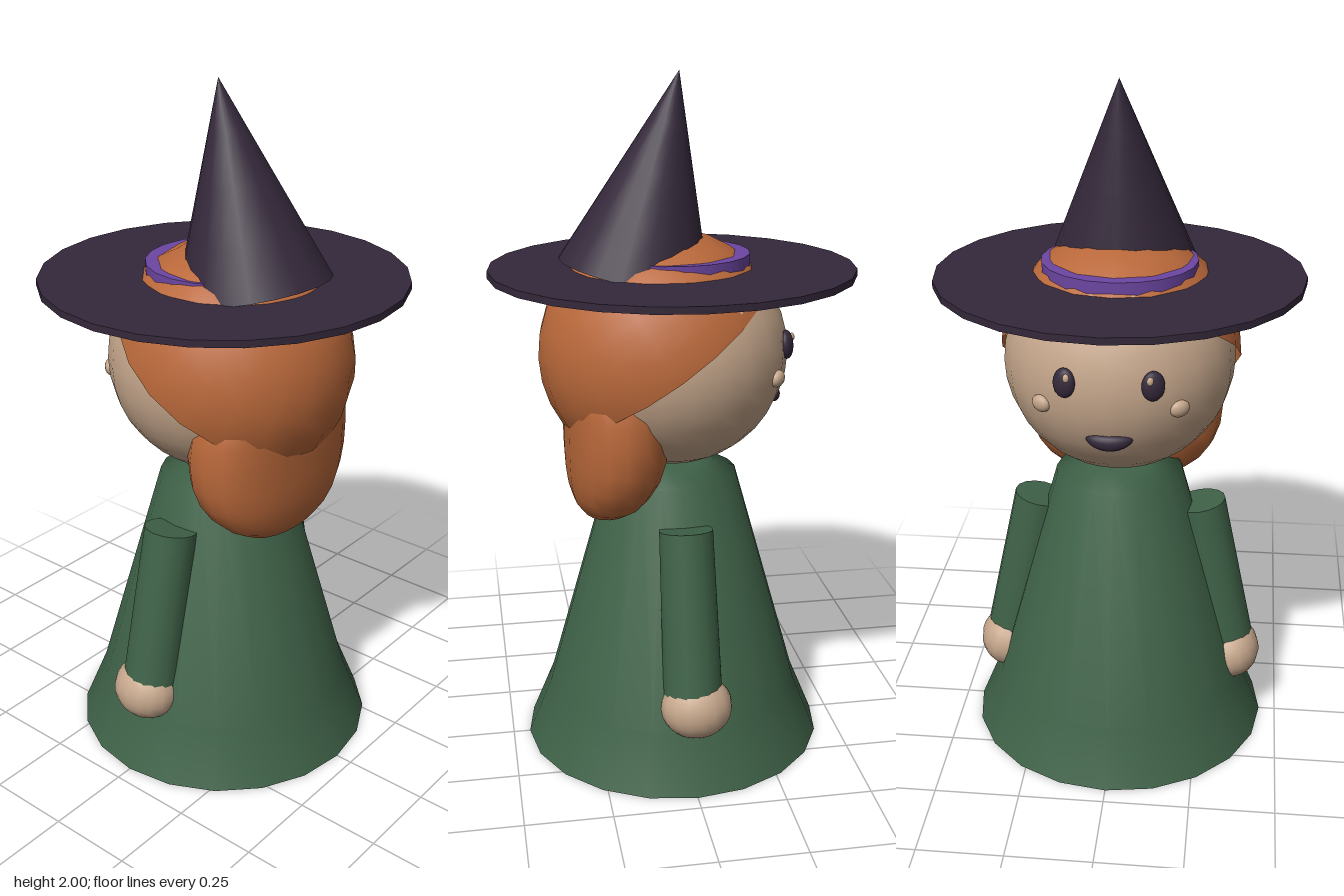
import * as THREE from 'three';

const mat = (name, color) => {
  const m = new THREE.MeshStandardMaterial({ color });
  m.name = name;
  return m;
};

export function createModel() {
  const group = new THREE.Group();
  const hatDark = mat('hat dark plum', 0x34283a);
  const hairOrange = mat('hair orange', 0xb9683a);
  const green = mat('dress green', 0x3f6248);
  const skin = mat('skin', 0xc6a78c);
  const purple = mat('band purple', 0x6c46a2);

  const add = (name, geo, material, x = 0, y = 0, z = 0) => {
    const mesh = new THREE.Mesh(geo, material);
    mesh.name = name;
    mesh.position.set(x, y, z);
    group.add(mesh);
    return mesh;
  };
  const ball = (rx, ry, rz, w = 16, h = 12) => new THREE.SphereGeometry(1, w, h).scale(rx, ry, rz);

  // Dress: flared hem, straight cone, rounded shoulders, closed underneath
  const profile = [[0.45, 0], [0.38, 0.17], [0.19, 0.845], [0.09, 0.875], [0, 0.882]]
    .map(([r, y]) => new THREE.Vector2(r, y));
  add('dress', new THREE.LatheGeometry(profile, 20), green);
  add('dressBottom', new THREE.CircleGeometry(0.45, 20).rotateX(Math.PI / 2), green);

  // Head; the face looks towards -z
  const headY = 1.215, headR = 0.334;
  add('head', ball(headR, headR, headR, 24, 18), skin, 0, headY, 0);

  // Hair: tilted half dome
  const dome = new THREE.SphereGeometry(0.36, 20, 8, 0, Math.PI * 2, 0, Math.PI / 2).scale(0.97, 1, 1);
  const hairMat = hairOrange;
  hairMat.side = THREE.DoubleSide;
  add('hairCap', dome, hairMat, 0, 1.21, 0.028).rotation.x = THREE.MathUtils.degToRad(35);

  // Hair hanging behind: squared-off ellipsoid, bowed backwards
  const lock = new THREE.SphereGeometry(1, 20, 14);
  const p = lock.attributes.position;
  const puff = (v) => Math.sign(v) * Math.pow(Math.abs(v), 0.88);
  for (let i = 0; i < p.count; i++) {
    const y = puff(p.getY(i)) * 0.275;
    p.setXYZ(i, puff(p.getX(i)) * 0.3, y, puff(p.getZ(i)) * 0.152 + 0.6 * y * y);
  }
  lock.computeVertexNormals();
  add('hairBack', lock, hairMat, 0, 1.0, 0.168);

  // Hat: flat brim, band and leaning cone
  add('hatBrim', new THREE.CylinderGeometry(0.525, 0.525, 0.02, 24), hatDark, 0, 1.45, 0);
  add('hatBand', new THREE.CylinderGeometry(0.222, 0.222, 0.055, 20), purple, 0, 1.4725, 0);
  const lean = 0.225, coneH = 0.575;
  const cone = new THREE.ConeGeometry(0.222, coneH, 20, 4).translate(0, -coneH / 2, 0);
  add('hatCone', cone, hatDark, 0, 2, -0.02).rotation.x = -lean;

  // Arms and hands
  const up = new THREE.Vector3(0, 1, 0);
  for (const s of [1, -1]) {
    const side = s > 0 ? 'left' : 'right';
    const top = new THREE.Vector3(s * 0.242, 0.745, 0);
    const low = new THREE.Vector3(s * 0.333, 0.275, -0.005);
    const dir = top.clone().sub(low);
    const mid = top.clone().add(low).multiplyScalar(0.5);
    const sleeve = new THREE.CylinderGeometry(0.078, 0.086, dir.length(), 16);
    add(side + 'Sleeve', sleeve, green, mid.x, mid.y, mid.z)
      .quaternion.setFromUnitVectors(up, dir.normalize());
    add(side + 'Hand', ball(0.09, 0.092, 0.104), skin, s * 0.35, 0.24, -0.013).rotation.z = s * 0.2;

    // Eye, glint and cheek on the surface of the head
    const onFace = (name, geo, material, x, y, r = headR) => {
      const dy = y - headY;
      const m = add(side + name, geo, material, s * x, y, -Math.sqrt(r * r - x * x - dy * dy));
      m.lookAt(0, headY, 0);
    };
    onFace('Eye', ball(0.033, 0.042, 0.02), hatDark, 0.12, 1.245);
    onFace('EyeGlint', ball(0.01, 0.012, 0.008, 8, 6), skin, 0.113, 1.265, headR + 0.016);
    onFace('Cheek', ball(0.03, 0.025, 0.018), skin, 0.19, 1.165);
  }

  // Mouth: flattened bead wrapped round the face
  const mouth = ball(0.065, 0.024, 0.02);
  const q = mouth.attributes.position;
  for (let i = 0; i < q.count; i++) {
    const x = q.getX(i);
    q.setY(i, q.getY(i) + 2 * x * x);
    q.setZ(i, q.getZ(i) + 1.6 * x * x);
  }
  mouth.computeVertexNormals();
  add('mouth', mouth, hatDark, 0, 1.068, -0.302);

  return group;
}
